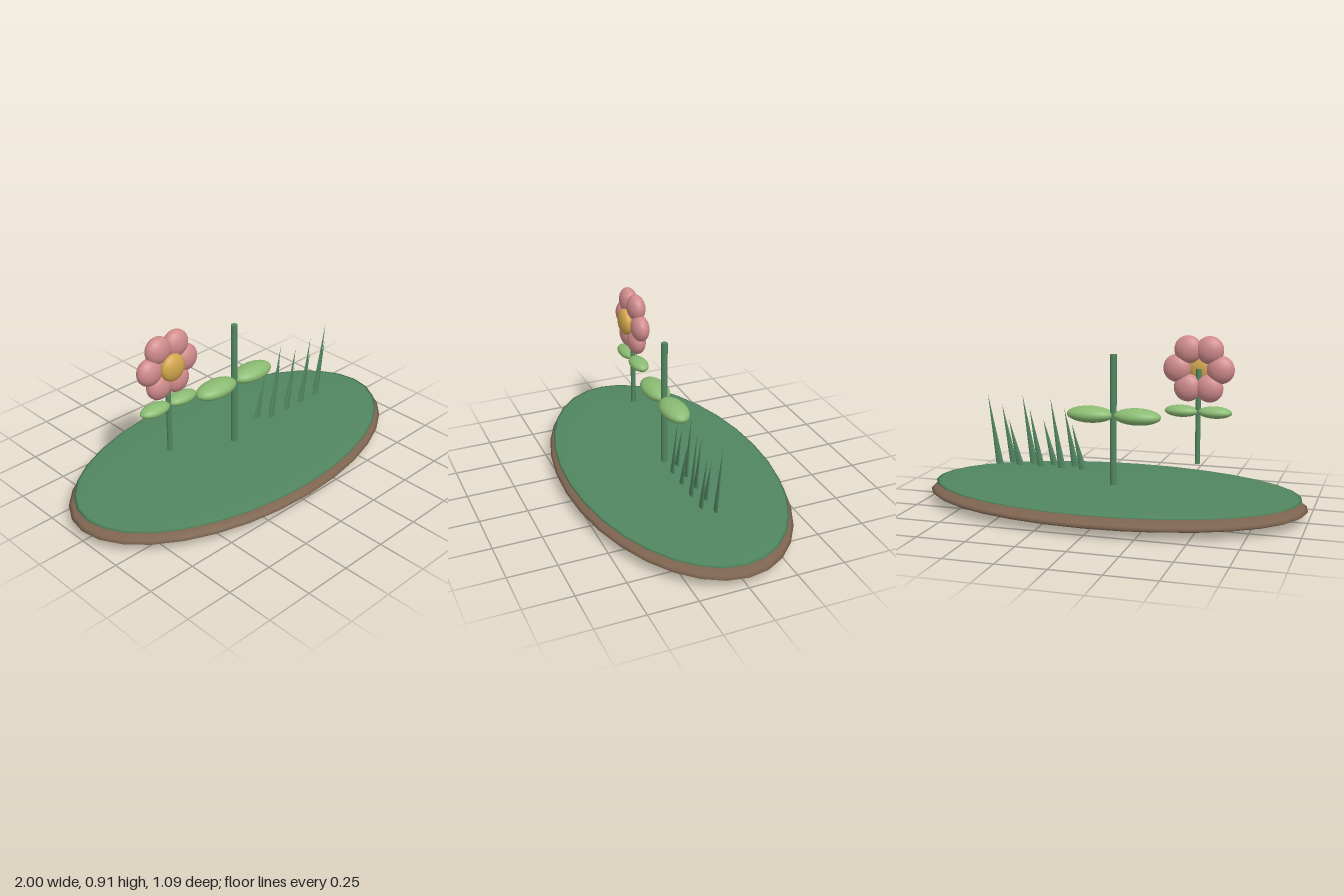
import * as THREE from 'three';

const material = (name, color) => {
  const m = new THREE.MeshStandardMaterial({ color });
  m.name = name;
  return m;
};

export function createModel() {
  const soil = material('soil brown', 0x7d6450);
  const green = material('grass green', 0x518660);
  const leafGreen = material('leaf green', 0x8abb72);
  const pink = material('petal pink', 0xd08b8b);
  const gold = material('flower centre gold', 0xd3a64c);

  const model = new THREE.Group();
  model.name = 'flowerIsland';

  const add = (parent, name, geometry, mat, x, y, z) => {
    const mesh = new THREE.Mesh(geometry, mat);
    mesh.name = name;
    mesh.position.set(x, y, z);
    parent.add(mesh);
    return mesh;
  };
  const ellipsoid = (rx, ry, rz, segments = 24) =>
    new THREE.SphereGeometry(1, segments, 16).scale(rx, ry, rz);

  // Stem with a mirrored pair of leaves
  const addPlant = (name, x, bottom, top, radius, leafY, leafX, leafSize) => {
    const plant = new THREE.Group();
    plant.name = name;
    plant.position.x = x;
    const stem = new THREE.CylinderGeometry(radius, radius, top - bottom, 16);
    add(plant, 'stem', stem, green, 0, (top + bottom) / 2, 0);
    for (const side of [-1, 1]) {
      add(plant, side > 0 ? 'leftLeaf' : 'rightLeaf', ellipsoid(...leafSize), leafGreen, side * leafX, leafY, 0);
    }
    model.add(plant);
    return plant;
  };

  // Flattened island with a thin grass cap
  add(model, 'soilBase', ellipsoid(1, 0.057, 0.545, 32), soil, 0, 0.057, 0);
  add(model, 'grassCap', ellipsoid(0.97, 0.017, 0.525, 32), green, 0, 0.105, 0);

  // Bare central plant
  addPlant('centralPlant', 0, 0.1, 0.8, 0.017, 0.485, 0.125, [0.125, 0.043, 0.068]);

  // Flower: six rounded petals around a raised centre
  const flower = addPlant('flower', -0.44, 0.265, 0.745, 0.013, 0.53, 0.085, [0.086, 0.03, 0.047]);
  for (let i = 0; i < 6; i++) {
    const a = (i * Math.PI) / 3;
    add(flower, 'petal', ellipsoid(0.07, 0.07, 0.047), pink,
      Math.cos(a) * 0.11, 0.745 + Math.sin(a) * 0.11, 0);
  }
  add(flower, 'flowerCentre', ellipsoid(0.07, 0.07, 0.036), gold, 0, 0.745, 0.04);

  // Leaning grass blades in two staggered rows
  const blades = new THREE.Group();
  blades.name = 'grassBlades';
  const heights = [0.24, 0.31, 0.37];
  for (let i = 0; i < 9; i++) {
    const h = heights[i % 3];
    const blade = new THREE.ConeGeometry(1, h, 10).scale(0.021, 1, 0.007).translate(0, h / 2, 0);
    const lean = new THREE.Matrix4().set(
      1, 0.06 / h, 0, 0,
      0, 1, 0, 0,
      0, 0, 1, 0,
      0, 0, 0, 1);
    blade.applyMatrix4(lean);
    add(blades, 'grassBlade', blade, green, 0.165 + i * 0.058, 0.19, i % 2 ? 0.05 : 0);
  }
  model.add(blades);

  return model;
}
